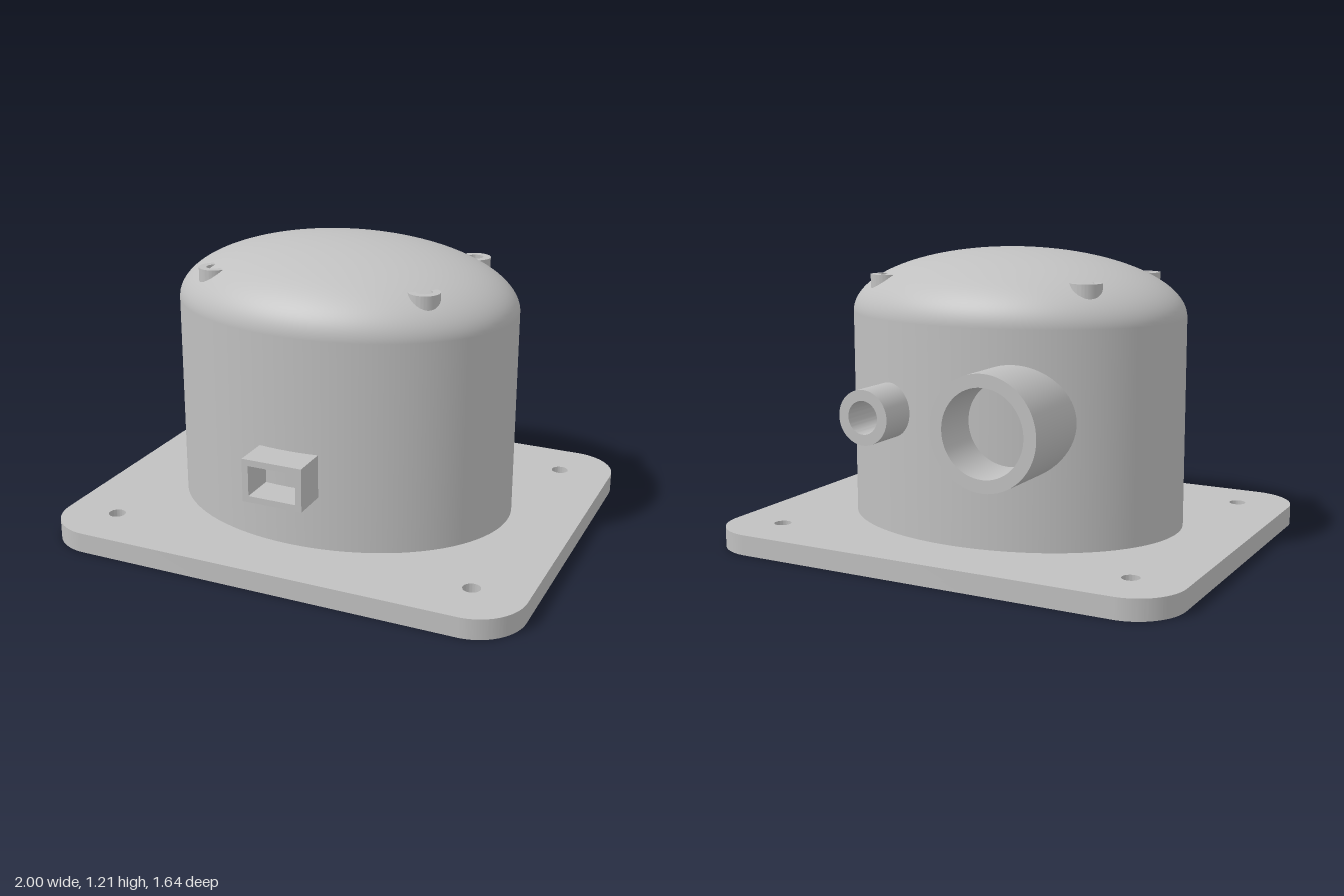
import * as THREE from 'three';
import { toCreasedNormals } from 'three/addons/utils/BufferGeometryUtils.js';

// Outline of a rectangle with rounded corners, centred on the origin
function roundedRect(w, h, r, S = THREE.Shape) {
  const s = new S(), x = w / 2, y = h / 2;
  if (r === 0) {
    s.moveTo(-x, -y).lineTo(x, -y).lineTo(x, y).lineTo(-x, y).closePath();
    return s;
  }
  s.absarc(x - r, y - r, r, 0, Math.PI / 2);
  s.absarc(-x + r, y - r, r, Math.PI / 2, Math.PI);
  s.absarc(-x + r, -y + r, r, Math.PI, Math.PI * 1.5);
  s.absarc(x - r, -y + r, r, Math.PI * 1.5, Math.PI * 2);
  s.closePath();
  return s;
}

function circle(x, y, r, S = THREE.Path) {
  return new S().absarc(x, y, r, 0, Math.PI * 2);
}

// Extrude an outline with holes along +z, smooth on curves and sharp on edges
function extrude(shape, holes, depth) {
  shape.holes.push(...holes);
  const geo = new THREE.ExtrudeGeometry(shape, { depth, bevelEnabled: false, curveSegments: 32 });
  return toCreasedNormals(geo, 0.6);
}

export function createModel() {
  const group = new THREE.Group();
  const grey = new THREE.MeshStandardMaterial({ color: 0xc0c0c0 });
  grey.name = 'grey';

  const add = (name, geo, x = 0, y = 0, z = 0) => {
    const mesh = new THREE.Mesh(geo, grey);
    mesh.name = name;
    mesh.position.set(x, y, z);
    group.add(mesh);
  };

  const RX = 0.72, RZ = 0.555, SEAM = 0.94, BASE = 0.083;

  // Base plate with four bolt holes
  const bolts = [];
  for (const sx of [-1, 1]) for (const sz of [-1, 1]) bolts.push(circle(sx * 0.778, sz * 0.598, 0.035));
  add('basePlate', extrude(roundedRect(2, 1.64, 0.2), bolts, BASE).rotateX(-Math.PI / 2));

  // Oval housing wall and domed lid
  const wall = new THREE.CylinderGeometry(1, 1, SEAM - BASE, 96, 1, true).scale(RX, 1, RZ);
  add('housing', wall, 0, (SEAM + BASE) / 2, 0);
  const dome = new THREE.SphereGeometry(1, 96, 32, 0, Math.PI * 2, 0, Math.PI / 2).scale(RX, 0.27, RZ);
  add('domeLid', dome, 0, SEAM, 0);

  // Hollow screw bosses half sunk into the lid
  for (const sx of [-1, 1]) for (const sz of [-1, 1]) {
    const boss = extrude(circle(0, 0, 0.063, THREE.Shape), [circle(0, 0, 0.032)], 0.1);
    add('screwBoss', boss.rotateX(-Math.PI / 2), sx * 0.45, 1.003, sz * 0.292);
  }

  // Pipe stubs on the back
  const pipe = (name, x, r, inner, zIn, zOut) =>
    add(name, extrude(circle(0, 0, r, THREE.Shape), [circle(0, 0, inner)], zIn - zOut), x, 0.586, zOut);
  pipe('largePipe', -0.253, 0.221, 0.17, -0.4, -0.752);
  pipe('smallPipe', 0.301, 0.109, 0.066, -0.42, -0.697);

  // Rectangular socket on the front
  const socket = extrude(roundedRect(0.252, 0.177, 0), [roundedRect(0.2, 0.125, 0, THREE.Path)], 0.195);
  add('frontSocket', socket, 0, 0.393, 0.5);

  return group;
}
